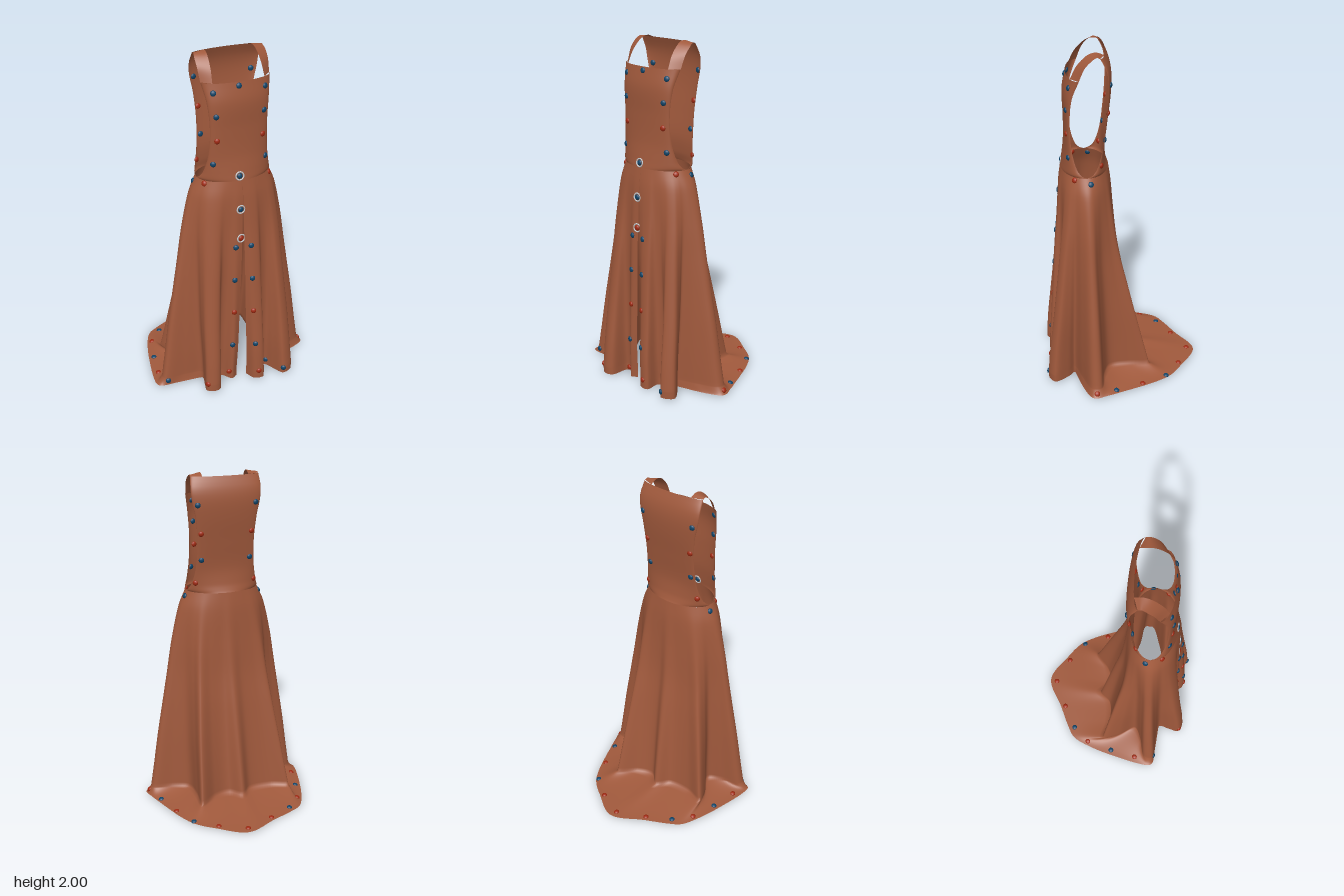
import * as THREE from 'three';

const material = (name, color, extra = {}) => Object.assign(new THREE.MeshStandardMaterial({ color, ...extra }), { name });

// Smooth interpolation through rows of [t, a, b, ...] with t ascending
function sample(keys, t) {
  let i = 0;
  while (i < keys.length - 2 && t > keys[i + 1][0]) i++;
  const k0 = keys[Math.max(i - 1, 0)], k1 = keys[i], k2 = keys[i + 1], k3 = keys[Math.min(i + 2, keys.length - 1)];
  const h = k2[0] - k1[0], s = THREE.MathUtils.clamp((t - k1[0]) / h, 0, 1);
  return k1.slice(1).map((a, n) => {
    const c = n + 1, b = k2[c];
    const m1 = (b - k0[c]) / (k2[0] - k0[0]) * h, m2 = (k3[c] - a) / (k3[0] - k1[0]) * h;
    return (2 * s ** 3 - 3 * s * s + 1) * a + (s ** 3 - 2 * s * s + s) * m1 + (3 * s * s - 2 * s ** 3) * b + (s ** 3 - s * s) * m2;
  });
}

// Cloth sheet from a rule f(u, v) -> [x, y, z]
function sheet(nu, nv, f) {
  const pos = [], index = [];
  for (let j = 0; j <= nv; j++) for (let i = 0; i <= nu; i++) {
    pos.push(...f(i / nu, j / nv));
    if (i < nu && j < nv) {
      const a = j * (nu + 1) + i, d = a + nu + 1;
      index.push(a, d, a + 1, a + 1, d, d + 1);
    }
  }
  const g = new THREE.BufferGeometry();
  g.setAttribute('position', new THREE.Float32BufferAttribute(pos, 3));
  g.setIndex(index);
  g.computeVertexNormals();
  return g;
}

// Skirt sections: y, half width, side z, front z, back z
const skirtRows = [
  [0.05, 0.44, 0.2, 0.42, -0.14], [0.2, 0.42, 0.2, 0.42, -0.11], [0.4, 0.395, 0.2, 0.41, -0.07],
  [0.6, 0.365, 0.2, 0.4, -0.03], [0.8, 0.335, 0.2, 0.39, 0.01], [1.0, 0.305, 0.2, 0.375, 0.035],
  [1.2, 0.26, 0.2, 0.36, 0.055], [1.3, 0.215, 0.2, 0.345, 0.07],
];
// Folded foot of the skirt: angle from the front, x, z
const foot = [
  [0, 0.03, 0.37], [9, 0.06, 0.43], [17, 0.12, 0.43], [23, 0.12, 0.35], [29, 0.17, 0.33], [36, 0.2, 0.38],
  [44, 0.24, 0.45], [53, 0.31, 0.41], [61, 0.26, 0.33], [68, 0.22, 0.29], [78, 0.33, 0.25], [90, 0.45, 0.2],
  [100, 0.45, 0.14], [112, 0.33, 0.12], [122, 0.24, 0.08], [135, 0.22, -0.04], [145, 0.22, -0.16],
  [158, 0.12, -0.08], [172, 0.02, -0.05], [182, -0.05, -0.11], [194, -0.12, -0.04], [206, -0.25, -0.03],
  [218, -0.36, -0.06], [230, -0.33, 0.04], [242, -0.27, 0.14], [254, -0.35, 0.19], [265, -0.45, 0.22],
  [275, -0.45, 0.28], [285, -0.33, 0.285], [295, -0.23, 0.3], [303, -0.24, 0.37], [312, -0.25, 0.43],
  [322, -0.2, 0.455], [330, -0.16, 0.43], [338, -0.15, 0.34], [345, -0.11, 0.33], [352, -0.07, 0.38], [360, -0.03, 0.36],
];
// Outer edge of the train on the floor: angle, x, z
const trainEdge = [
  [68, 0.22, 0.29], [80, 0.4, 0.24], [90, 0.49, 0.19], [102, 0.47, 0.1], [112, 0.44, 0.02], [122, 0.41, -0.06],
  [135, 0.36, -0.18], [145, 0.3, -0.28], [158, 0.2, -0.36], [178, 0.02, -0.46], [198, -0.17, -0.365],
  [210, -0.3, -0.3], [220, -0.37, -0.25], [232, -0.42, -0.14], [244, -0.46, 0], [258, -0.5, 0.2],
  [270, -0.49, 0.28], [280, -0.4, 0.29], [295, -0.23, 0.3],
];

function oval(y, deg) {
  const [X, zs, zf, zb] = sample(skirtRows, y), a = deg * Math.PI / 180, c = Math.cos(a);
  return [X * Math.sin(a), zs + c * (c > 0 ? zf - zs : zs - zb)];
}

// Skirt falls into folds, then spreads out into the train
function skirtPoint(u, v) {
  const deg = u * 360, [fx, fz] = sample(foot, deg);
  if (v > 0.85) {
    const s = Math.min((v - 0.85) / 0.15, 1);
    const [tx, tz] = deg > 68 && deg < 295 ? sample(trainEdge, deg) : [fx, fz];
    return [fx + (tx - fx) * s, 0.004 + 0.046 * (1 - s) ** 1.3, fz + (tz - fz) * s];
  }
  const drop = v / 0.85, y = 1.3 - 1.25 * drop, w = drop ** 1.25;
  const [x, z] = oval(y, deg), [bx, bz] = oval(0.05, deg);
  return [x + w * (fx - bx), y, z + w * (fz - bz)];
}

// Bodice panels: y, half width, armhole edge z, centre z
const frontRows = [
  [1.3, 0.215, 0.2, 0.345], [1.312, 0.21, 0.228, 0.343], [1.35, 0.195, 0.255, 0.337], [1.45, 0.175, 0.28, 0.325],
  [1.6, 0.168, 0.288, 0.322], [1.75, 0.18, 0.275, 0.325], [1.86, 0.2, 0.235, 0.305],
];
const backRows = [
  [1.3, 0.215, 0.2, 0.07], [1.312, 0.21, 0.17, 0.075], [1.35, 0.195, 0.14, 0.085], [1.45, 0.175, 0.11, 0.092],
  [1.6, 0.168, 0.09, 0.075], [1.75, 0.18, 0.077, 0.055], [1.85, 0.2, 0.077, 0.05], [1.92, 0.205, 0.087, 0.06],
  [1.985, 0.2, 0.12, 0.085],
];
const panel = (rows, start) => sheet(40, 40, (u, v) => {
  const y = 1.3 + (rows.at(-1)[0] - 1.3) * (1 - v) ** 1.5;
  const [X, ze, zc] = sample(rows, y), a = start + u * Math.PI;
  return [X * Math.sin(a), y, ze + (zc - ze) * Math.abs(Math.cos(a))];
});

// Shoulder strap from back to front: t, inner x y z, outer x y z
const strapRows = [
  [0, 0.135, 1.985, 0.094, 0.2, 1.985, 0.12], [1, 0.135, 2, 0.14, 0.2, 1.99, 0.14],
  [2, 0.14, 1.985, 0.19, 0.205, 1.97, 0.17], [3, 0.145, 1.93, 0.245, 0.205, 1.93, 0.205], [4, 0.15, 1.86, 0.281, 0.2, 1.86, 0.235],
];
const strap = side => sheet(6, 24, (u, v) => {
  const k = sample(strapRows, v * 4), s = side > 0 ? u : 1 - u;
  return [0, 1, 2].map(n => (k[n] + (k[n + 3] - k[n]) * s) * (n === 0 ? side : 1));
});

export function createModel() {
  const model = new THREE.Group();
  model.name = 'dress';
  const cloth = material('brown cloth', 0xa0593c, { side: THREE.DoubleSide });
  const blue = material('blue stud', 0x0f4468), red = material('red stud', 0xa02a12), silver = material('silver ring', 0xc8ccd0);

  const cloths = [];
  const addCloth = (name, geometry) => {
    const mesh = new THREE.Mesh(geometry, cloth);
    mesh.name = name;
    model.add(mesh);
    cloths.push(geometry);
  };
  addCloth('skirtAndTrain', sheet(240, 60, skirtPoint));
  addCloth('bodiceFront', panel(frontRows, -Math.PI / 2));
  addCloth('bodiceBack', panel(backRows, Math.PI / 2));
  addCloth('leftStrap', strap(1));
  addCloth('rightStrap', strap(-1));

  // Flat round studs laid onto the nearest cloth
  const studShape = new THREE.SphereGeometry(0.016, 14, 10).scale(1, 1, 0.55);
  const ringShape = new THREE.TorusGeometry(0.023, 0.004, 6, 20);
  const p = new THREE.Vector3(), n = new THREE.Vector3(), best = new THREE.Vector3();
  function addStud(colour, x, y, z, ring = false) {
    const target = new THREE.Vector3(x, y, z);
    let min = Infinity;
    for (const g of cloths) for (let i = 0; i < g.attributes.position.count; i++) {
      const d = p.fromBufferAttribute(g.attributes.position, i).distanceToSquared(target);
      if (d < min) {
        min = d;
        best.copy(p);
        n.fromBufferAttribute(g.attributes.normal, i);
      }
    }
    target.addScaledVector(n, -n.dot(target.clone().sub(best)));
    const stud = new THREE.Group();
    stud.name = ring ? 'ringedStud' : 'stud';
    stud.add(new THREE.Mesh(studShape, colour));
    if (ring) stud.add(new THREE.Mesh(ringShape, silver));
    stud.position.copy(target);
    stud.quaternion.setFromUnitVectors(new THREE.Vector3(0, 0, 1), n);
    model.add(stud);
  }

  // Armhole studs on both sides, front and back
  for (const s of [-1, 1]) {
    [[blue, 0.15, 1.81, 0.29], [blue, 0.14, 1.68, 0.31], [red, 0.135, 1.54, 0.31], [blue, 0.155, 1.405, 0.3],
      [red, 0.21, 1.29, 0.28], [blue, 0.22, 1.265, 0.18], [red, 0.175, 1.36, 0.12], [blue, 0.145, 1.5, 0.09],
      [red, 0.15, 1.66, 0.075], [blue, 0.17, 1.83, 0.065]].forEach(([c, x, y, z]) => addStud(c, x * s, y, z));
    // Pairs along the front slit
    [[blue, 0.047, 0.9, 0.39], [blue, 0.052, 0.69, 0.4], [red, 0.057, 0.475, 0.41], [blue, 0.07, 0.25, 0.42],
      [red, 0.09, 0.055, 0.43]].forEach(([c, x, y, z]) => addStud(c, x * s - 0.005, y, z));
  }

  // Neckline stud and ringed closures
  addStud(blue, -0.01, 1.84, 0.31);
  for (const y of [1.33, 1.13, 0.95]) addStud(y < 1 ? red : blue, -0.014, y, 0.36, true);

  // Studs around the hem
  [[red, -0.46, 0.16], [blue, -0.43, 0], [red, -0.39, -0.16], [blue, -0.3, -0.26], [red, -0.16, -0.34], [red, 0.01, -0.42],
    [red, 0.17, -0.35], [blue, 0.3, -0.26], [red, 0.37, -0.11], [blue, 0.43, 0.05], [red, 0.47, 0.17]]
    .forEach(([c, x, z]) => addStud(c, x, 0.02, z));
  [[blue, -0.44, 0.03, 0.29], [red, -0.24, 0.05, 0.43], [blue, 0.24, 0.04, 0.45], [blue, 0.17, 0.04, 0.34]]
    .forEach(([c, x, y, z]) => addStud(c, x, y, z));
  return model;
}
